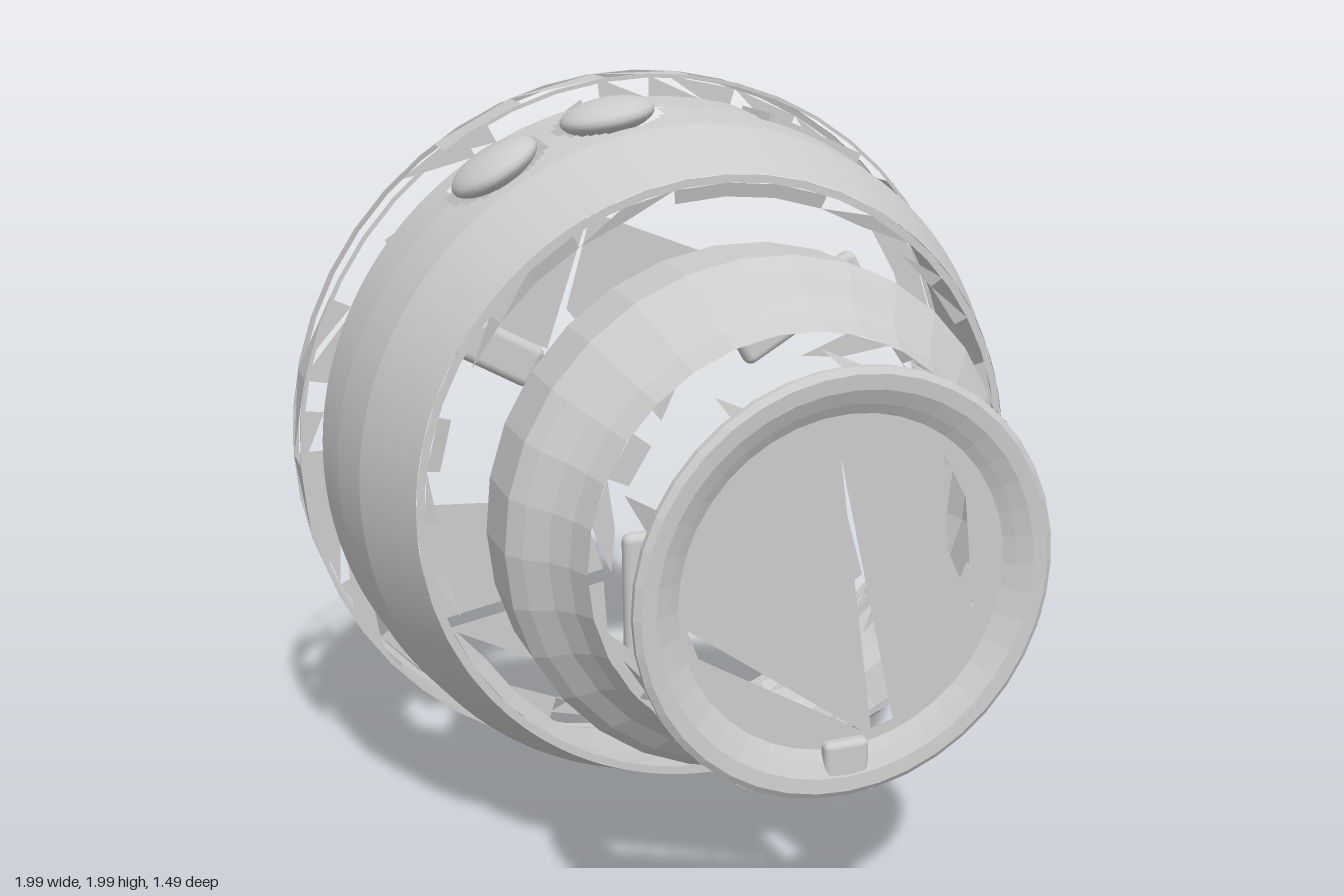
import * as THREE from 'three';
import { RoundedBoxGeometry } from 'three/addons/geometries/RoundedBoxGeometry.js';

const flat = new THREE.MeshStandardMaterial({ color: 0xcccccc, side: THREE.DoubleSide, flatShading: true });
const smooth = new THREE.MeshStandardMaterial({ color: 0xcccccc, side: THREE.DoubleSide });

// Repeatable 0..1 value for broken-panel patterns
const hash = (i, seed) => {
  const s = Math.sin(i * 12.9898 + seed * 78.233) * 43758.5453;
  return s - Math.floor(s);
};

// Surface of revolution about z from [radius, z] points; keep(angle, radius, z, index) drops triangles
function revolve(profile, sides, keep = () => true) {
  const pos = [];
  const at = (k, i) => {
    const a = (i / sides) * Math.PI * 2, [r, z] = profile[k];
    return [r * Math.cos(a), r * Math.sin(a), z];
  };
  let index = 0;
  for (let k = 0; k < profile.length - 1; k++) {
    const r = (profile[k][0] + profile[k + 1][0]) / 2, z = (profile[k][1] + profile[k + 1][1]) / 2;
    for (let i = 0; i < sides; i++) {
      const a = ((i + 0.5) / sides) * Math.PI * 2;
      const p = at(k, i), q = at(k, i + 1), s = at(k + 1, i + 1), t = at(k + 1, i);
      if (keep(a, r, z, index++)) pos.push(...p, ...q, ...s);
      if (keep(a, r, z, index++)) pos.push(...p, ...s, ...t);
    }
  }
  const g = new THREE.BufferGeometry();
  g.setAttribute('position', new THREE.Float32BufferAttribute(pos, 3));
  g.computeVertexNormals();
  return g;
}

// Flat polygon from [x, y] corners
const outline = pts => pts.map(([x, y]) => new THREE.Vector2(x, y));

export function createModel() {
  const root = new THREE.Group();
  const axis = new THREE.Group();
  axis.name = 'device';
  axis.position.y = 1;
  root.add(axis);

  const add = (name, geometry, material = flat, parent = axis) => {
    const m = new THREE.Mesh(geometry, material);
    m.name = name;
    parent.add(m);
    return m;
  };
  // Band of which only a share of the triangles is left
  const brokenBand = (name, profile, sides, share, seed) =>
    add(name, revolve(profile, sides, (a, r, z, i) => hash(i, seed) < share));

  // Buttons: angle around the axis, z and radius
  const buttons = [
    { angle: Math.atan2(0.785, -0.47), z: -0.43, size: 0.125 },
    { angle: Math.atan2(0.9, -0.17), z: -0.43, size: 0.125 },
    { angle: Math.atan2(-0.89, 0.23), z: -0.41, size: 0.14 },
  ];

  // Main housing: two-slope cone with openings for buttons and port
  const housingProfile = [];
  const corners = [[0.805, -0.02], [0.9, -0.25], [0.925, -0.42], [0.935, -0.6]];
  for (let k = 0; k < 3; k++) {
    for (let j = 0; j < 13; j++) {
      housingProfile.push([0, 1].map(c => THREE.MathUtils.lerp(corners[k][c], corners[k + 1][c], j / 13)));
    }
  }
  housingProfile.push(corners[3]);
  const solid = (a, r, z) => {
    const x = r * Math.cos(a), y = r * Math.sin(a);
    if (y > 0 && x > 0.24 && x < 0.53 && z < -0.385) return false;
    return !buttons.some(b => {
      const d = Math.atan2(Math.sin(a - b.angle), Math.cos(a - b.angle)) * r;
      return Math.hypot(d, z - b.z) < b.size + 0.018;
    });
  };
  add('housing', revolve(housingProfile, 288, solid), smooth);
  add('housingLip', revolve([[0.805, -0.02], [0.785, -0.02]], 48));
  brokenBand('housingInnerLip', [[0.785, -0.02], [0.75, -0.03]], 36, 0.5, 3);

  // Domed buttons
  for (const b of buttons) {
    const g = new THREE.SphereGeometry(1, 20, 14);
    g.scale(0.045, b.size, b.size);
    const m = add('button', g, smooth);
    m.position.set(0.925 * Math.cos(b.angle), 0.925 * Math.sin(b.angle), b.z);
    m.rotation.z = b.angle;
  }

  // Socket set into the housing
  const port = new THREE.Group();
  port.name = 'port';
  port.position.set(0.385, 0.8, -0.49);
  port.rotation.z = -0.42;
  axis.add(port);
  add('portBody', new THREE.BoxGeometry(0.17, 0.08, 0.09), flat, port);
  for (const s of [-1, 1]) {
    add('portWall', new THREE.BoxGeometry(0.012, 0.09, 0.2), flat, port).position.set(s * 0.14, 0.0, 0);
  }
  add('portEdge', new THREE.BoxGeometry(0.28, 0.09, 0.012), flat, port).position.z = 0.1;

  // Rear flange: thin rims with a broken wall between them
  add('flangeFrontRim', revolve([[0.985, -0.6], [0.995, -0.6], [0.995, -0.607]], 48));
  add('flangeBackRim', revolve([[0.995, -0.722], [0.995, -0.73], [0.98, -0.735]], 48));
  brokenBand('flangeWall', [[0.995, -0.605], [0.995, -0.725]], 26, 0.5, 1);
  brokenBand('flangeFace', [[0.935, -0.6], [0.99, -0.6]], 40, 0.3, 5);
  brokenBand('flangeBackFace', [[0.9, -0.735], [0.98, -0.735]], 30, 0.4, 8);

  // Remaining panels of the back plate
  const panels = [
    [[0.29, 0.44], [-0.13, 0.61], [-0.21, 0.34], [0.07, -0.02]],
    [[-0.15, 0.92], [-0.71, 0.57], [-0.65, 0.42], [-0.27, 0.23], [-0.14, 0.6]],
    [[0.58, -0.02], [0.36, -0.61], [0.5, -0.75], [0.74, -0.6]],
    [[-0.19, -0.23], [-0.69, -0.19], [-0.62, -0.55], [-0.12, -0.46]],
    [[-0.12, -0.5], [-0.6, -0.58], [-0.1, -0.85]],
    [[0.1, -0.72], [-0.3, -0.9], [-0.05, -0.97]],
    [[0.86, 0.1], [0.9, 0.36], [0.72, 0.25]],
  ];
  const backPlate = new THREE.Group();
  backPlate.name = 'backPlate';
  backPlate.position.z = -0.732;
  axis.add(backPlate);
  panels.forEach(p => add('backPanel', new THREE.ShapeGeometry(new THREE.Shape(outline(p))), flat, backPlate));

  // Three low radial bars on the back
  for (const deg of [30, 150, 270]) {
    const a = THREE.MathUtils.degToRad(deg);
    const bar = add('backBar', new RoundedBoxGeometry(0.45, 0.125, 0.055, 3, 0.025), smooth);
    bar.position.set(0.58 * Math.cos(a), 0.58 * Math.sin(a), -0.72);
    bar.rotation.z = a;
  }

  // Middle collar: chamfered ring tapering to the front
  add('collar', revolve([[0.6, 0], [0.635, 0.02], [0.655, 0.07], [0.655, 0.245], [0.625, 0.285],
    [0.575, 0.33], [0.54, 0.38], [0.515, 0.44]], 30));
  brokenBand('collarFrontLip', [[0.515, 0.44], [0.46, 0.44]], 28, 0.45, 2);
  brokenBand('collarBackLip', [[0.6, 0], [0.57, -0.02]], 36, 0.4, 6);

  // Slivers left of the front barrel wall
  const spikes = [];
  for (let i = 0; i < 12; i++) {
    const a = (i + 0.6 * hash(i, 4)) / 12 * Math.PI * 2, w = 0.03 + 0.04 * hash(i, 9);
    const tip = 0.49 + 0.13 * hash(i, 7);
    for (const [d, z] of [[-w, 0.73], [w, 0.73], [0, tip]]) {
      spikes.push(0.505 * Math.cos(a + d), 0.505 * Math.sin(a + d), z);
    }
  }
  const spikeGeometry = new THREE.BufferGeometry();
  spikeGeometry.setAttribute('position', new THREE.Float32BufferAttribute(spikes, 3));
  spikeGeometry.computeVertexNormals();
  add('barrelSlivers', spikeGeometry);

  // Front ring dishing in to the face
  add('frontRing', revolve([[0.505, 0.715], [0.505, 0.73], [0.49, 0.74], [0.455, 0.737], [0.42, 0.72], [0.395, 0.705]], 40), smooth);

  // Front face with cracks
  const face = new THREE.Shape();
  face.absarc(0, 0, 0.397, 0, Math.PI * 2);
  const cracks = [
    [[-0.02, 0.3], [0.07, -0.36], [0.125, -0.345]],
    [[-0.375, -0.05], [-0.35, -0.12], [0.05, -0.365]],
    [[0.23, 0.28], [0.29, 0.17], [0.32, -0.1], [0.25, 0.05]],
  ];
  cracks.forEach(c => face.holes.push(new THREE.Path(outline(c))));
  add('frontFace', new THREE.ShapeGeometry(face, 24)).position.z = 0.705;

  // Small index block at the bottom of the front ring
  add('indexBlock', new RoundedBoxGeometry(0.11, 0.1, 0.04, 2, 0.015), smooth).position.set(0, -0.42, 0.715);

  return root;
}
